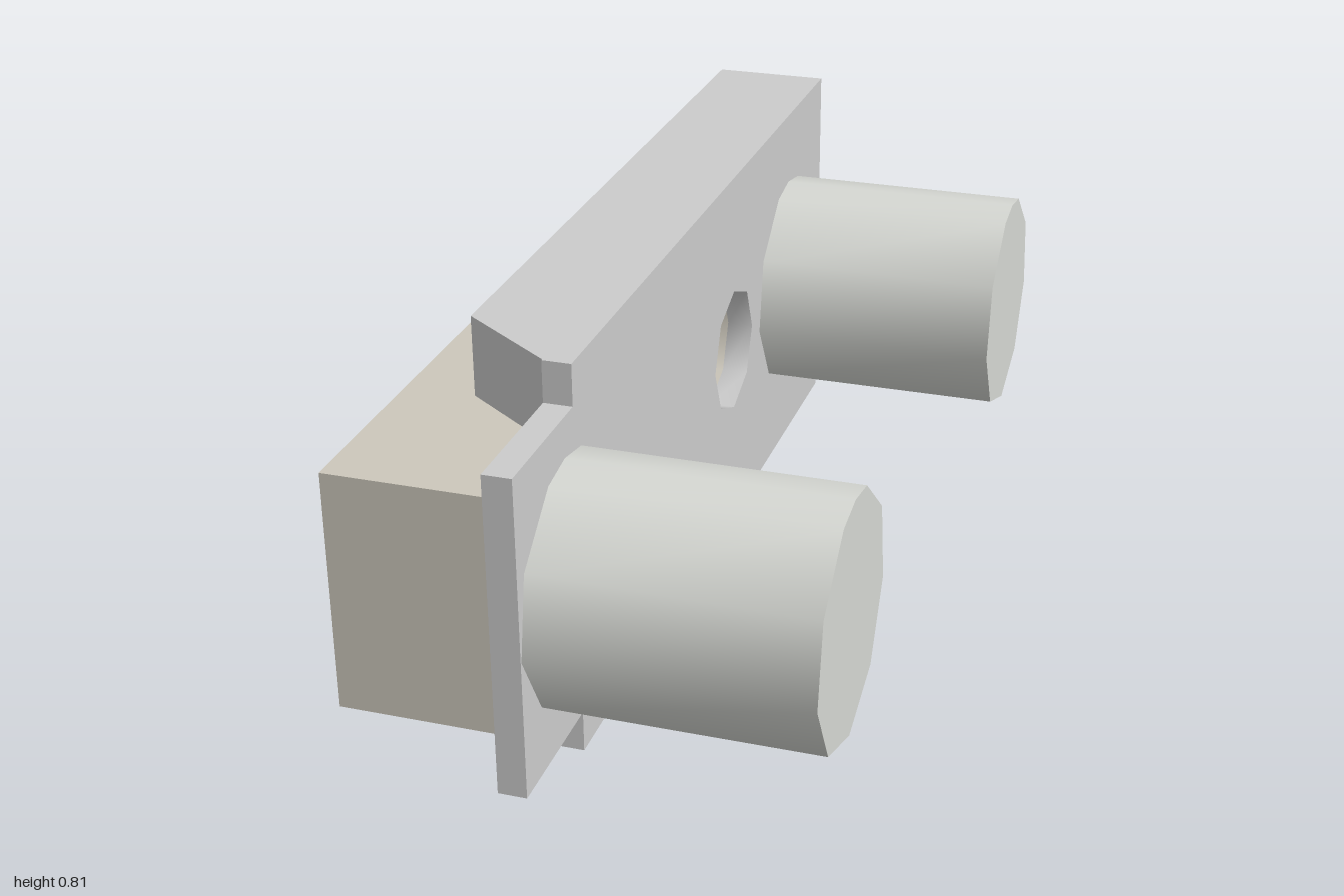
import * as THREE from 'three';
import { toCreasedNormals } from 'three/addons/utils/BufferGeometryUtils.js';

const MID_Y = 0.408;
const HOLE = { z: -0.274, r: 0.14 };

// Points on a circle in the side plane (u = -z, v = y), one per angle in degrees
const ring = (z, r, degrees) => degrees.map((d) => {
  const a = THREE.MathUtils.degToRad(d);
  return new THREE.Vector2(-z + r * Math.cos(a), MID_Y + r * Math.sin(a));
});

// Extrudes a side-plane outline along x, from x0 to x1
function sideExtrude(points, x0, x1, holed) {
  const shape = new THREE.Shape(points);
  if (holed) {
    const octagon = [0, 45, 90, 135, 180, 225, 270, 315].reverse();
    shape.holes.push(new THREE.Path(ring(HOLE.z, HOLE.r, octagon)));
  }
  const geo = new THREE.ExtrudeGeometry(shape, { depth: x1 - x0, bevelEnabled: false });
  geo.rotateY(Math.PI / 2).translate(x0, 0, 0);
  return toCreasedNormals(geo, Math.PI / 3);
}

// Outline from [z, y] pairs
const outline = (pairs) => pairs.map(([z, y]) => new THREE.Vector2(-z, y));

export function createModel() {
  const model = new THREE.Group();
  const plateMat = new THREE.MeshStandardMaterial({ color: 0xcccccc });
  const barMat = new THREE.MeshStandardMaterial({ color: 0xccc7bb });
  const pegMat = new THREE.MeshStandardMaterial({ color: 0xd6d8d3 });

  const add = (name, geo, mat, parent = model) => {
    const mesh = new THREE.Mesh(geo, mat);
    mesh.name = name;
    parent.add(mesh);
    return mesh;
  };

  // Channel: web with a narrower front tab, two rails and the slot floor
  const channel = new THREE.Group();
  channel.name = 'channel';
  model.add(channel);

  const web = outline([
    [1, 0.086], [0.714, 0.086], [0.714, 0], [-1, 0],
    [-1, 0.81], [0.714, 0.81], [0.714, 0.727], [1, 0.727],
  ]);
  add('web', sideExtrude(web, -0.126, -0.07, true), plateMat, channel);

  // Rails, chamfered at the front end
  const railPlan = new THREE.Shape([
    [-0.32, -1], [-0.126, -1], [-0.126, 0.71], [-0.32, 0.57],
  ].map(([x, z]) => new THREE.Vector2(x, z)));
  for (const [name, bottom, top] of [['lowerRail', 0, 0.166], ['upperRail', 0.648, 0.81]]) {
    const geo = new THREE.ExtrudeGeometry(railPlan, { depth: top - bottom, bevelEnabled: false });
    geo.rotateX(Math.PI / 2).translate(0, top, 0);
    add(name, geo, plateMat, channel);
  }

  // Slot floor showing behind the end of the bar
  const floor = new THREE.BoxGeometry(0.078, 0.482, 0.105);
  add('slotFloor', floor, plateMat, channel).position.set(-0.165, 0.407, -0.9475);

  // Bar lying in the slot, pierced by the same hole
  const bar = outline([[0.937, 0.166], [-0.895, 0.166], [-0.895, 0.648], [0.937, 0.648]]);
  add('bar', sideExtrude(bar, -0.46, -0.126, true), barMat);

  // Pegs: faceted outline, smooth along the side
  const pegAngles = [-90, -50, -10, 30, 70, 90, 110, 150, 190, 230];
  for (const [name, z] of [['frontPeg', 0.76], ['rearPeg', -0.712]]) {
    add(name, sideExtrude(ring(z, 0.24, pegAngles), -0.07, 0.457, false), pegMat);
  }

  return model;
}
